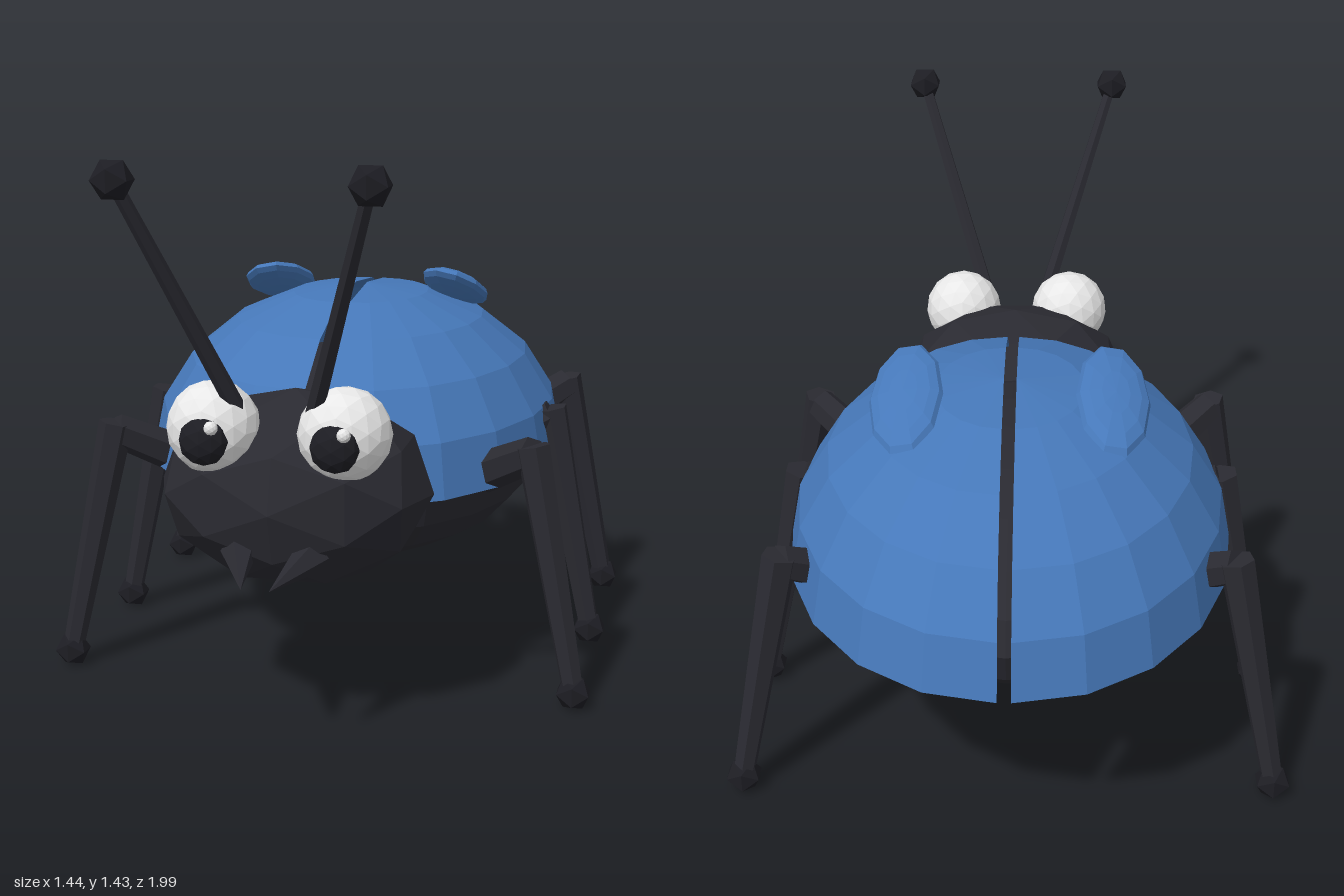
import * as THREE from 'three';

const flat = (name, color, extra = {}) => {
  const m = new THREE.MeshStandardMaterial({ color, flatShading: true, ...extra });
  m.name = name;
  return m;
};

export function createModel() {
  const blue = flat('shell blue', 0x4678b9, { side: THREE.DoubleSide });
  const black = flat('body black', 0x2a2a31);
  const dark = flat('dark tips', 0x1d1d23);
  const white = flat('eye white', 0xececec);

  const beetle = new THREE.Group();
  beetle.name = 'beetle';

  const add = (name, geometry, material, pos = [0, 0, 0], scale = [1, 1, 1], rot = [0, 0, 0]) => {
    const mesh = new THREE.Mesh(geometry, material);
    mesh.name = name;
    mesh.position.set(...pos);
    mesh.scale.set(...scale);
    mesh.rotation.set(...rot);
    beetle.add(mesh);
    return mesh;
  };

  // Tapered rod running from point a to point b
  const rod = (name, a, b, ra, rb, sides, material) => {
    const from = new THREE.Vector3(...a), to = new THREE.Vector3(...b);
    const dir = to.clone().sub(from);
    const mesh = add(name, new THREE.CylinderGeometry(rb, ra, dir.length(), sides), material);
    mesh.position.copy(from).add(to).multiplyScalar(0.5);
    mesh.quaternion.setFromUnitVectors(new THREE.Vector3(0, 1, 0), dir.normalize());
    return mesh;
  };

  // Body and head
  add('body', new THREE.SphereGeometry(1, 20, 10), black, [0, 0.54, -0.2], [0.51, 0.277, 0.63]);
  add('head', new THREE.IcosahedronGeometry(1, 1), black, [0, 0.6, 0.48], [0.345, 0.247, 0.275]);

  for (const s of [1, -1]) {
    const side = s > 0 ? 'left' : 'right';
    const label = (part) => side + part;

    // Hollow wing case, with a narrow gap along the middle
    const phi = s > 0 ? Math.PI / 2 : -Math.PI / 2;
    add(label('WingCase'), new THREE.SphereGeometry(1, 10, 5, phi, Math.PI, 0, Math.PI / 2),
      blue, [s * 0.016, 0.54, -0.266], [0.56, 0.453, 0.734]);

    // Raised oval on the wing case
    add(label('WingBump'), new THREE.SphereGeometry(1, 10, 8), blue,
      [s * 0.257, 0.977, -0.347], [0.095, 0.033, 0.187], [-0.36, 0, -s * 0.2]);

    // Eye, pupil and glint (the glint sits on the same side of both pupils)
    add(label('Eye'), new THREE.IcosahedronGeometry(0.113, 2), white, [s * 0.16, 0.78, 0.643]);
    add(label('Pupil'), new THREE.IcosahedronGeometry(1, 1), dark,
      [s * 0.157, 0.768, 0.735], [0.06, 0.06, 0.042]);
    add(label('Glint'), new THREE.IcosahedronGeometry(0.017, 1), white, [s * 0.157 + 0.027, 0.806, 0.762]);

    // Antenna
    const tip = [s * 0.283, 1.39, 0.945];
    rod(label('Antenna'), [s * 0.075, 0.78, 0.645], tip, 0.023, 0.016, 6, black);
    add(label('AntennaTip'), new THREE.IcosahedronGeometry(0.05, 0), dark, tip);

    // Mandible
    rod(label('Mandible'), [s * 0.09, 0.49, 0.68], [s * 0.033, 0.457, 0.865], 0.045, 0, 5, black);

    // Legs: hip, knee and foot depths from front to back
    const legs = [
      ['Front', 0.14, 0.25, 0.3],
      ['Middle', -0.18, -0.18, -0.18],
      ['Rear', -0.5, -0.6, -0.66],
    ];
    for (const [row, hipZ, kneeZ, footZ] of legs) {
      const knee = [s * 0.56, 0.655, kneeZ];
      const foot = [s * 0.68, 0.043, footZ];
      rod(label(row + 'UpperLeg'), [s * 0.41, 0.565, hipZ], knee, 0.055, 0.045, 6, black);
      rod(label(row + 'LowerLeg'), [s * 0.555, 0.675, kneeZ], foot, 0.046, 0.028, 6, black);
      add(label(row + 'Foot'), new THREE.IcosahedronGeometry(0.048, 0), dark, foot);
    }
  }
  return beetle;
}
